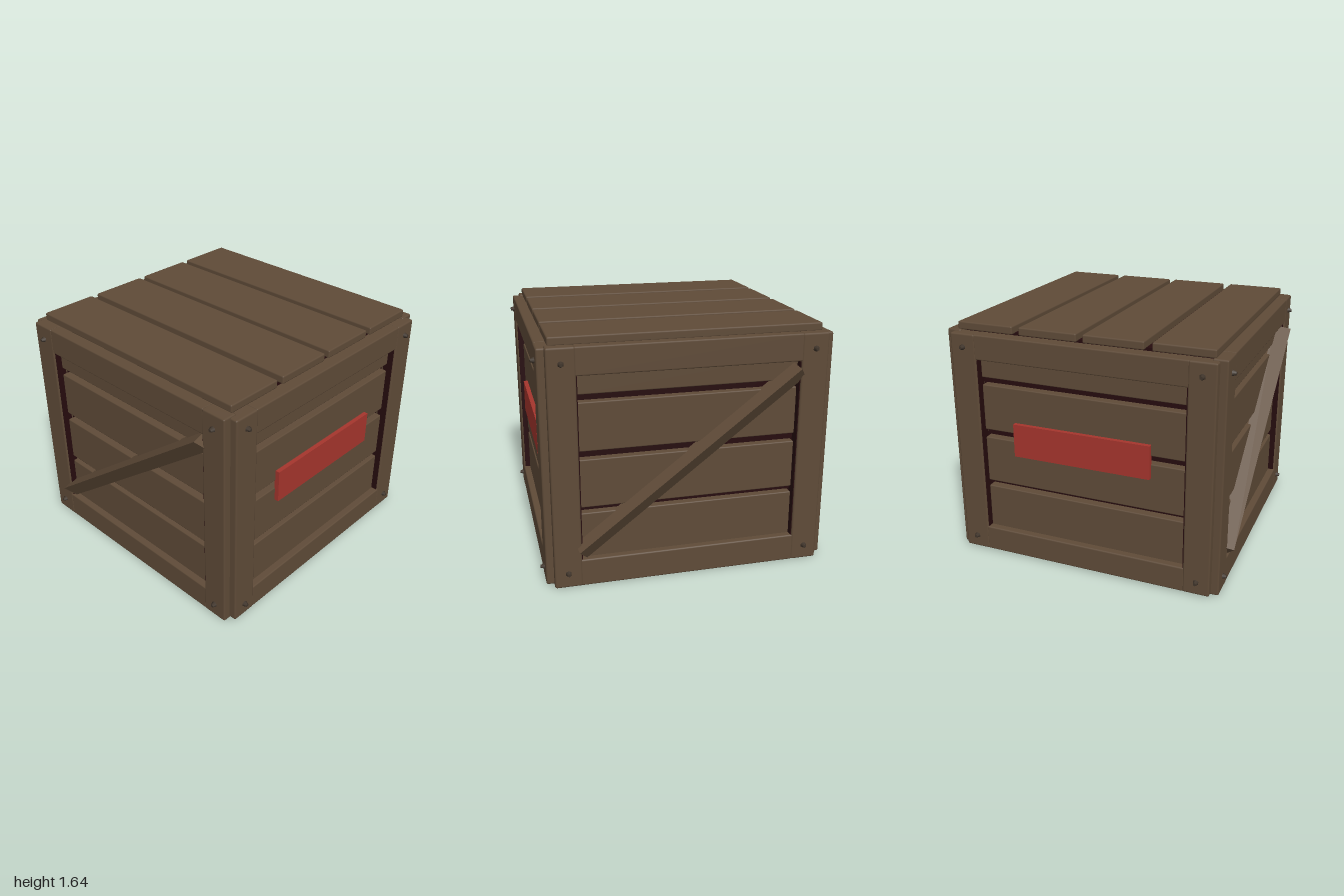
import * as THREE from 'three';
import { RoundedBoxGeometry } from 'three/addons/geometries/RoundedBoxGeometry.js';

const wood = new THREE.MeshStandardMaterial({ color: 0x5f4b38 });
wood.name = 'brown wood';
const dark = new THREE.MeshStandardMaterial({ color: 0x260c0e });
dark.name = 'dark lining';
const red = new THREE.MeshStandardMaterial({ color: 0xa5352d });
red.name = 'red label';
const iron = new THREE.MeshStandardMaterial({ color: 0x40352b });
iron.name = 'bolt iron';

// Box given by its limits; a positive radius softens its edges
function block(parent, name, material, [x0, x1], [y0, y1], [z0, z1], radius = 0) {
  const size = [x1 - x0, y1 - y0, z1 - z0];
  const geometry = radius ? new RoundedBoxGeometry(...size, 1, radius) : new THREE.BoxGeometry(...size);
  const mesh = new THREE.Mesh(geometry, material);
  mesh.position.set((x0 + x1) / 2, (y0 + y1) / 2, (z0 + z1) / 2);
  mesh.name = name;
  parent.add(mesh);
  return mesh;
}

// One framed wall, built facing +z
function wall(name, y0, y1) {
  const g = new THREE.Group();
  g.name = name;
  const depth = [0.85, 0.95];
  for (const s of [-1, 1]) {
    const span = (a, b) => (s > 0 ? [a, b] : [-b, -a]);
    block(g, 'stile', wood, span(0.72, 0.9), [y0, y1], depth, 0.012);
    block(g, 'stileInnerEdge', dark, span(0.714, 0.721), [0.185, 1.405], [0.87, 0.938]);
    for (const y of [0.1, 1.49]) {
      const bolt = new THREE.Mesh(new THREE.CylinderGeometry(0.011, 0.022, 0.03, 6), iron);
      bolt.rotation.x = Math.PI / 2;
      bolt.position.set(s * 0.81, y, 0.961);
      bolt.name = 'bolt';
      g.add(bolt);
    }
  }
  block(g, 'bottomRail', wood, [-0.73, 0.73], [y0, 0.185], [0.85, 0.948], 0.01);
  block(g, 'topRail', wood, [-0.73, 0.73], [1.41, y1], [0.85, 0.948], 0.01);
  // Recessed slats with dark gaps between them
  for (const [a, b] of [[0.15, 0.49], [0.53, 0.855], [0.91, 1.23], [1.28, 1.45]]) {
    block(g, 'slat', wood, [-0.715, 0.715], [a, b], [0.835, 0.9], 0.008);
  }
  // Lining skirt below the floor
  block(g, 'liningSkirt', dark, [-0.83, 0.83], [0.03, 0.12], [0.825, 0.855]);
  return g;
}

// Diagonal brace: a rolled bar swept from lower left to upper right
function brace() {
  const section = new THREE.Shape([
    new THREE.Vector2(0.688, 0.88),
    new THREE.Vector2(0.585, 0.86),
    new THREE.Vector2(0.57, 0.93),
    new THREE.Vector2(0.66, 1.0),
  ]);
  const geometry = new THREE.ExtrudeGeometry(section, { depth: 1.82, bevelEnabled: false });
  const c = Math.cos(0.657), s = Math.sin(0.657);
  geometry.translate(0, 0, -0.425);
  geometry.applyMatrix4(new THREE.Matrix4().makeBasis(
    new THREE.Vector3(-s, c, 0), new THREE.Vector3(0, 0, 1), new THREE.Vector3(c, s, 0)));
  const mesh = new THREE.Mesh(geometry, wood);
  mesh.name = 'diagonalBrace';
  return mesh;
}

export function createModel() {
  const crate = new THREE.Group();
  crate.name = 'crate';

  // Dark box behind the gaps; its underside is the recessed floor
  block(crate, 'lining', dark, [-0.835, 0.835], [0.09, 1.592], [-0.845, 0.845]);

  // Front and back carry braces, the sides carry labels
  for (let i = 0; i < 4; i++) {
    const side = i % 2 === 1;
    const g = wall(['frontWall', 'leftWall', 'backWall', 'rightWall'][i], side ? 0.01 : 0, side ? 1.58 : 1.59);
    if (side) block(g, 'label', red, [-0.48, 0.48], [0.76, 0.99], [0.895, 0.93]);
    else g.add(brace());
    g.rotation.y = i * Math.PI / 2;
    crate.add(g);
  }

  // Lid planks
  for (const z of [[-0.88, -0.48], [-0.435, -0.03], [0.012, 0.42], [0.47, 0.87]]) {
    block(crate, 'lidPlank', wood, [-0.88, 0.88], [1.585, 1.64], z, 0.01);
  }
  return crate;
}
